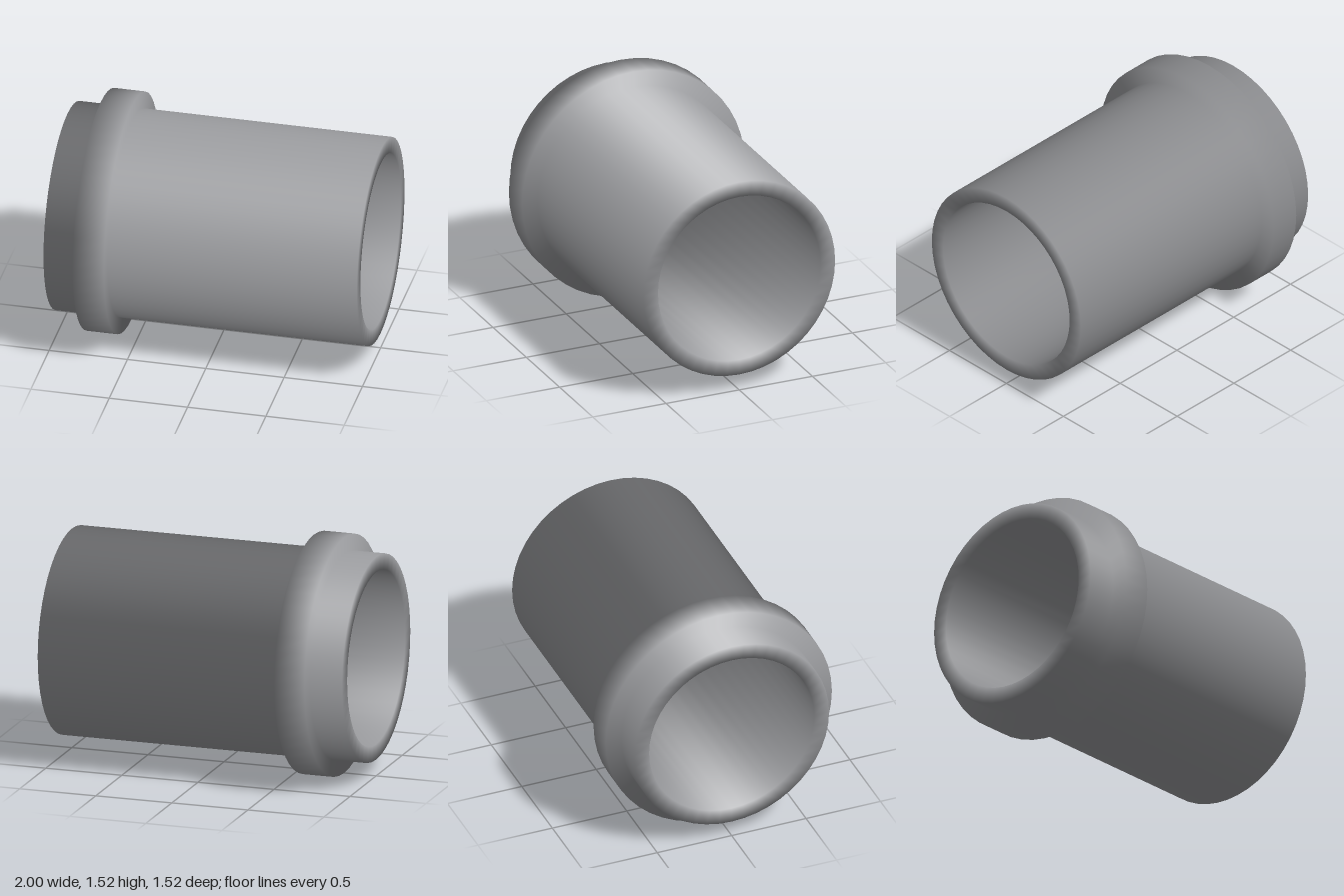
import * as THREE from 'three';

const SEGMENTS = 48;

// Closed cross-section: [radius, position along the pipe]
const PROFILE = [
  [0.655, -1], [0.655, -0.79], [0.76, -0.79], [0.76, -0.59],
  [0.655, -0.59], [0.655, 1], [0.555, 1], [0.555, -1],
].map(([r, h]) => new THREE.Vector2(r, h));

// Evenly blended normal at each corner, for soft shading across the rims
function cornerNormals(points) {
  const n = points.length;
  const edges = points.map((p, i) => {
    const d = points[(i + 1) % n].clone().sub(p).normalize();
    return new THREE.Vector2(d.y, -d.x);
  });
  return points.map((_, i) => edges[i].clone().add(edges[(i + n - 1) % n]).normalize());
}

// Revolve the closed section and spread the blended normals around it
function softRing(points) {
  const geometry = new THREE.LatheGeometry([...points, points[0]], SEGMENTS);
  const normals = cornerNormals(points);
  const rows = points.length + 1;
  const attribute = geometry.attributes.normal;
  for (let i = 0; i <= SEGMENTS; i++) {
    const a = (i / SEGMENTS) * Math.PI * 2;
    for (let j = 0; j < rows; j++) {
      const n = normals[j % points.length];
      attribute.setXYZ(i * rows + j, n.x * Math.sin(a), n.y, n.x * Math.cos(a));
    }
  }
  return geometry;
}

export function createModel() {
  const group = new THREE.Group();
  group.name = 'collaredPipe';

  const grey = new THREE.MeshStandardMaterial({ color: 0x98999c });
  grey.name = 'grey';

  // Hollow pipe with a raised collar near its right end, lying along x
  const pipe = new THREE.Mesh(softRing(PROFILE), grey);
  pipe.name = 'pipeWithCollar';
  pipe.rotation.z = -Math.PI / 2;
  pipe.position.y = 0.76;
  group.add(pipe);

  return group;
}
